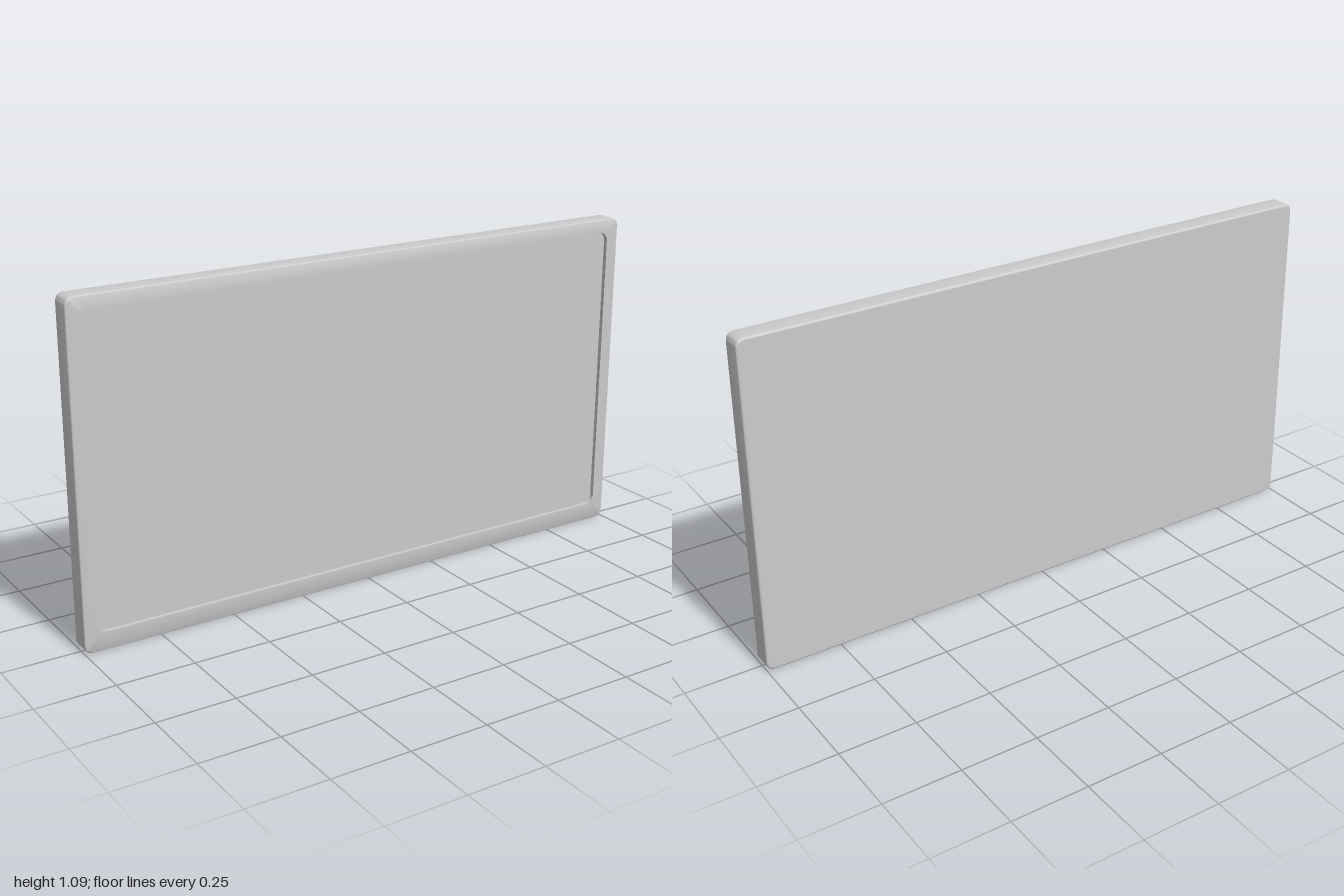
import * as THREE from 'three';
import { toCreasedNormals } from 'three/addons/utils/BufferGeometryUtils.js';

const H = 1.09, D = 0.0715, B = 0.006; // height, thickness, edge rounding
const SLOT = { x: 0.068, z0: -0.009, z1: 0.021, depth: 0.02 };
const CORNER_STEPS = 6;

// Rounded rectangle loop, counter-clockwise from the front, starting at the lower right
function loop(x, y0, y1, r, z) {
  const points = [];
  [[x - r, y0 + r], [x - r, y1 - r], [r - x, y1 - r], [r - x, y0 + r]].forEach(([cx, cy], k) => {
    for (let i = 0; i <= CORNER_STEPS; i++) {
      const a = (k - 1 + i / CORNER_STEPS) * Math.PI / 2;
      points.push(new THREE.Vector3(cx + r * Math.cos(a), cy + r * Math.sin(a), z));
    }
  });
  return points;
}

// Skin between successive loops; skip(ring, segment) leaves a gap
function loft(rings, skip = () => false) {
  const pos = [];
  const tri = (...v) => v.forEach(p => pos.push(p.x, p.y, p.z));
  for (let k = 0; k < rings.length - 1; k++) {
    const a = rings[k], b = rings[k + 1];
    a.forEach((p, i) => {
      if (skip(k, i)) return;
      const j = (i + 1) % a.length;
      tri(p, a[j], b[j]);
      tri(p, b[j], b[i]);
    });
  }
  const geo = new THREE.BufferGeometry();
  geo.setAttribute('position', new THREE.Float32BufferAttribute(pos, 3));
  return toCreasedNormals(geo, 0.6);
}

const flatShape = points => new THREE.Shape(points.map(p => new THREE.Vector2(p.x, p.y)));

export function createModel() {
  const model = new THREE.Group();
  const display = new THREE.Group();
  display.name = 'display';
  model.add(display);
  const material = new THREE.MeshStandardMaterial({ color: 0xcccccc });
  const add = (name, geometry, mat = material) => {
    const mesh = new THREE.Mesh(geometry, mat);
    mesh.name = name;
    display.add(mesh);
    return mesh;
  };

  // Casing with rounded edges, front bezel and the wall of the screen recess
  const outer = (inset, z) => loop(1 - inset, inset, H - inset, 0.025 - inset, z);
  const rings = [];
  for (const side of [-1, 1]) {
    for (let i = 0; i <= 4; i++) {
      const a = (side < 0 ? 4 - i : i) / 4 * Math.PI / 2;
      rings.push(outer(B * (1 - Math.cos(a)), side * (D / 2 - B + B * Math.sin(a))));
    }
  }
  const inner = z => loop(0.955, 0.06, 1.045, 0.03, z);
  const screenZ = D / 2 - 0.014;
  rings.push(inner(D / 2), inner(screenZ));
  const last = rings[0].length - 1;
  add('casing', loft(rings, (k, i) => k === 4 && i === last));

  // Back panel and recessed screen
  const back = add('backPanel', new THREE.ShapeGeometry(flatShape(rings[0])));
  back.rotation.y = Math.PI;
  back.position.z = -D / 2;
  add('screen', new THREE.ShapeGeometry(flatShape(inner(0)))).position.z = screenZ;

  // Underside with a slot opening
  const rect = (x, z0, z1) => [[-x, z0], [x, z0], [x, z1], [-x, z1]].map(p => new THREE.Vector2(...p));
  const underside = new THREE.Shape(rect(0.975, B - D / 2, D / 2 - B));
  underside.holes.push(new THREE.Path(rect(SLOT.x, SLOT.z0, SLOT.z1)));
  add('underside', new THREE.ShapeGeometry(underside)).rotation.x = Math.PI / 2;

  // Slot pocket, seen from within
  const pocket = new THREE.BoxGeometry(2 * SLOT.x, SLOT.depth, SLOT.z1 - SLOT.z0);
  pocket.setIndex([...pocket.index.array].filter((v, i) => Math.floor(i / 6) !== 3));
  const inside = material.clone();
  inside.side = THREE.BackSide;
  add('slotPocket', pocket, inside).position.set(0, SLOT.depth / 2, (SLOT.z0 + SLOT.z1) / 2);

  // Slight forward lean, resting on the ground
  display.rotation.x = 0.0066;
  display.position.z = -0.0066 * H / 2 + 0.001;
  const box = new THREE.Box3().setFromObject(model, true);
  display.position.y -= box.min.y;
  display.position.z -= (box.min.z + box.max.z) / 2;
  return model;
}
